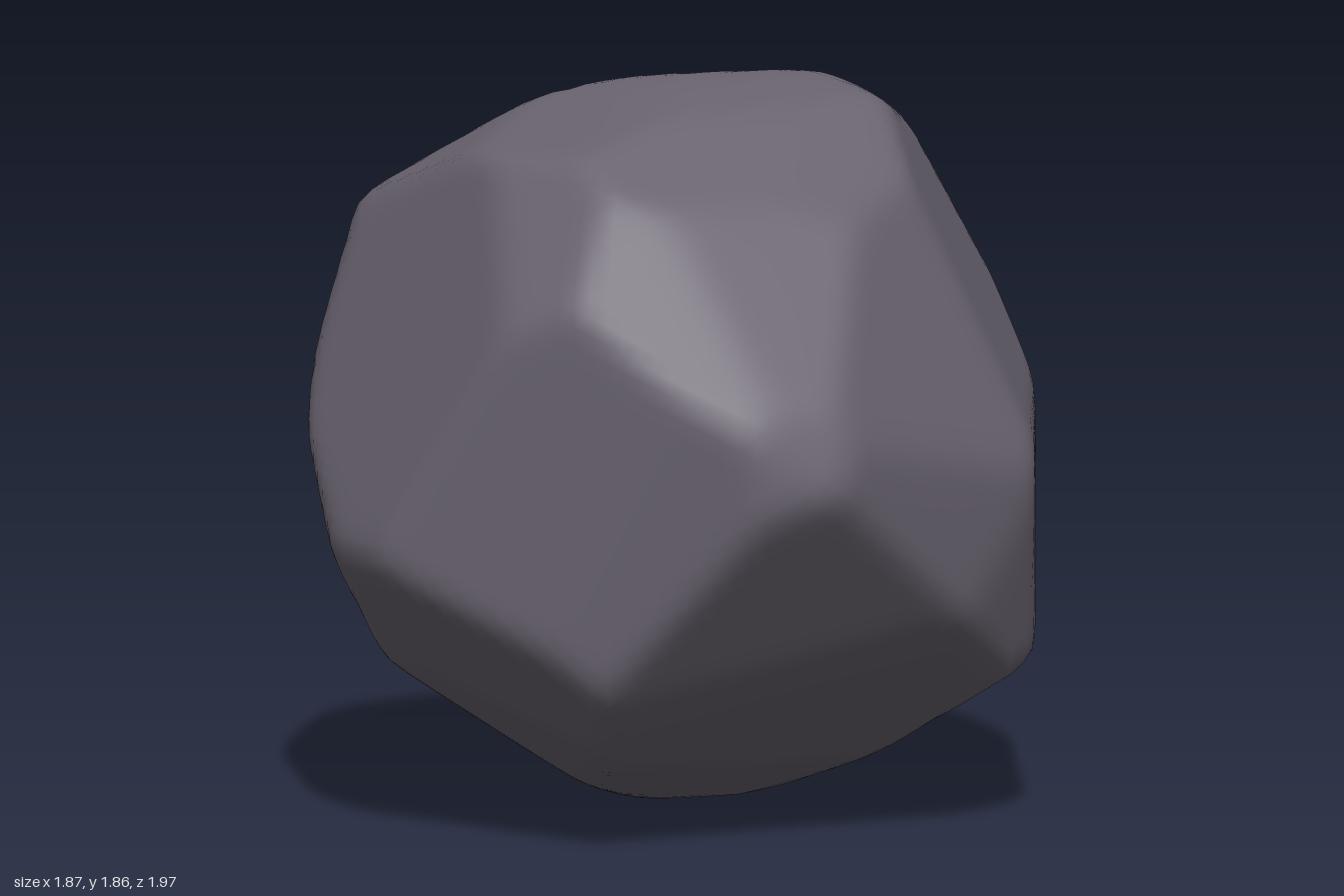
import * as THREE from 'three';
import { mergeVertices } from 'three/addons/utils/BufferGeometryUtils.js';

const MID = 0.94; // height of the rock's core
const D = Math.SQRT1_2, S = 0.354, C = 0.866;
const vec = (x, y, z) => new THREE.Vector3(x, y, z);
const X = vec(1, 0, 0), Y = vec(0, 1, 0), Z = vec(0, 0, 1);

// Turns each edge of an outline in the plane (u, v) into a cut through the rock.
// A cut is its outward normal divided by its distance from the core.
function cutsFromOutline(u, v, core, corners) {
  const points = corners.map(([a, b]) => new THREE.Vector2(a, b - core));
  return points.map((p, i) => {
    const q = points[(i + 1) % points.length];
    const n = new THREE.Vector2(q.y - p.y, p.x - q.x).normalize();
    if (n.dot(p) < 0) n.negate();
    const reach = Math.max(...points.map((t) => n.dot(t)));
    return vec(0, 0, 0).addScaledVector(u, n.x / reach).addScaledVector(v, n.y / reach);
  });
}

const cuts = [
  // Cuts around the front outline
  ...cutsFromOutline(X, Y, MID, [
    [-0.95, 0.74], [-0.72, 0.39], [-0.4, 0.14], [-0.05, 0.02], [0.24, 0], [0.78, 0.34],
    [0.95, 1.09], [0.92, 1.28], [0.6, 1.8], [0.4, 1.88], [0, 1.87], [-0.57, 1.73]]),
  // Cuts around the side outline
  ...cutsFromOutline(Z, Y, MID, [
    [1, 0.97], [0.93, 1.19], [0.54, 1.66], [0.2, 1.83], [-0.15, 1.88], [-0.33, 1.86],
    [-0.9, 1.36], [-1, 1.15], [-0.95, 0.63], [-0.42, 0], [-0.21, 0], [0.5, 0.24]]),
  // Cuts around the plan
  ...cutsFromOutline(X, Z, 0, [
    [0, -1], [0.68, -0.77], [0.86, -0.37], [0.95, 0.05], [0.69, 0.6], [-0.04, 1],
    [-0.33, 0.94], [-0.94, 0.16], [-0.95, -0.05], [-0.87, -0.43], [-0.7, -0.67]]),
  // Slanted cuts that chip the corners
  ...cutsFromOutline(vec(D, 0, -D), vec(-S, C, -S), 0, [
    [-0.91, 0.35], [-0.42, 0.9], [0.13, 0.98], [0.58, 0.73], [1, 0.22],
    [0.92, -0.45], [0.6, -0.79], [0, -0.92], [-0.81, -0.58]]),
  ...cutsFromOutline(vec(-D, 0, D), vec(S, C, S), 0, [
    [-1.01, 0], [-0.93, 0.44], [-0.62, 0.85], [-0.24, 0.99], [0.54, 0.78],
    [0.9, 0.36], [0.88, -0.33], [0.54, -0.74], [-0.36, -0.98], [-0.95, -0.6]]),
  ...cutsFromOutline(vec(-D, 0, -D), vec(S, C, -S), 0, [
    [-0.93, 0.04], [-0.38, 1.01], [-0.21, 1.01], [0.48, 0.83], [0.87, 0.55],
    [0.97, 0], [0.67, -0.66], [0, -0.92], [-0.83, -0.42]]),
  // Broad facets on the front left and left sides
  vec(0.51, 0.38, 0.77).divideScalar(0.81),
  vec(0.96, -0.115, -0.25).divideScalar(0.9),
];

// Pulls a sphere in to the nearest cut; the high power keeps facets but softens ridges
function rockGeometry() {
  const sphere = new THREE.IcosahedronGeometry(1, 24);
  sphere.deleteAttribute('uv');
  sphere.deleteAttribute('normal');
  const geometry = mergeVertices(sphere);
  const position = geometry.attributes.position;
  const power = 100;
  const p = vec(0, 0, 0);
  for (let i = 0; i < position.count; i++) {
    p.fromBufferAttribute(position, i).normalize();
    const sum = cuts.reduce((total, cut) => total + Math.max(0, cut.dot(p)) ** power, 0);
    p.multiplyScalar(sum ** (-1 / power));
    position.setXYZ(i, p.x, p.y + MID, p.z);
  }
  geometry.computeVertexNormals();
  return geometry;
}

export function createModel() {
  const model = new THREE.Group();
  model.name = 'rock';
  const stone = new THREE.MeshStandardMaterial({ color: 0x6a6470 });
  stone.name = 'stone grey';
  const boulder = new THREE.Mesh(rockGeometry(), stone);
  boulder.name = 'boulder';
  model.add(boulder);
  return model;
}
